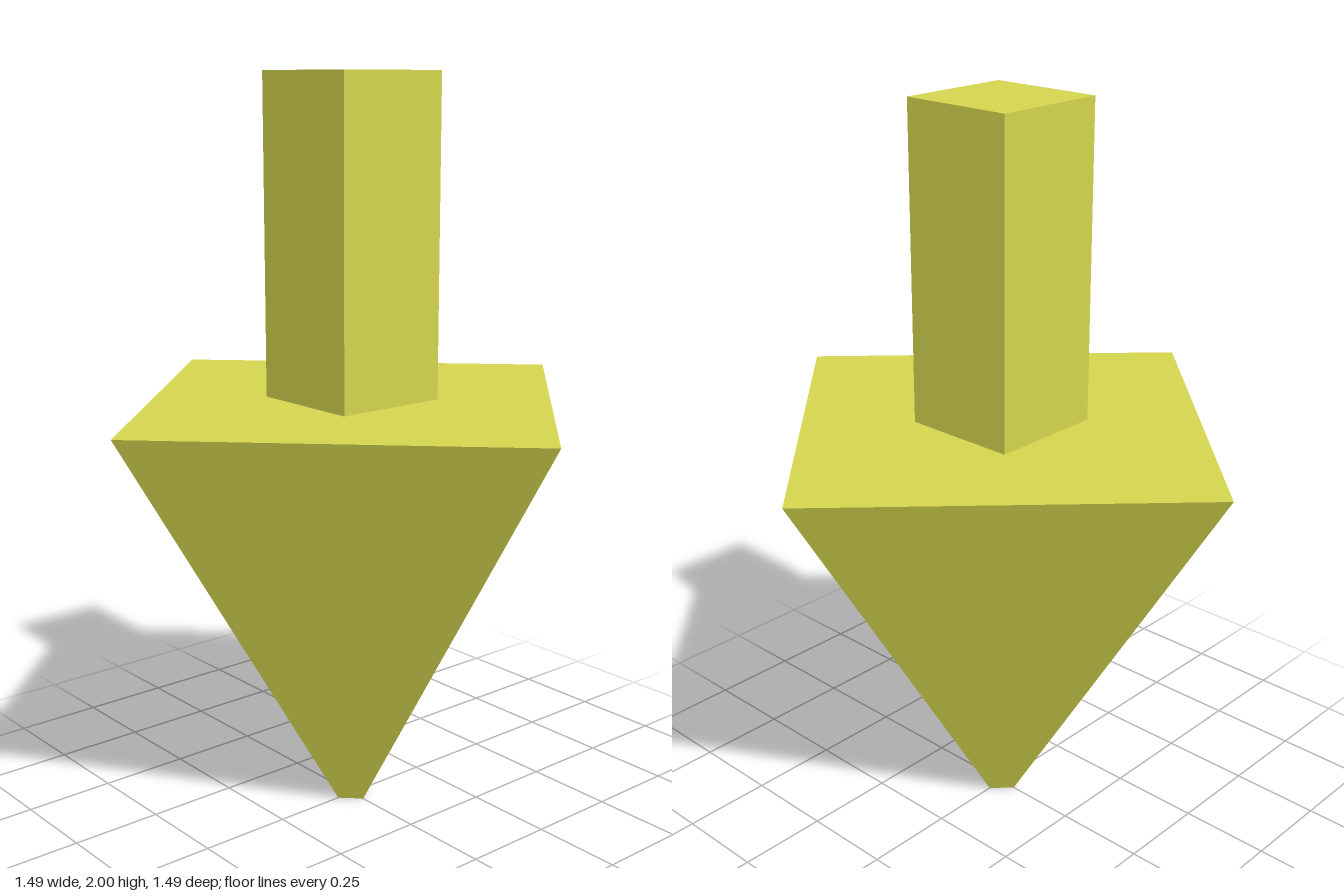
import * as THREE from 'three';

export function createModel() {
  const model = new THREE.Group();
  const yellow = new THREE.MeshStandardMaterial({ name: 'olive yellow', color: 0xd4d44e, flatShading: true });

  const add = (name, geometry, y) => {
    const mesh = new THREE.Mesh(geometry, yellow);
    mesh.name = name;
    mesh.position.y = y;
    model.add(mesh);
  };

  // Four-sided tapered head with its corners on the x and z axes and a blunt tip
  const headHeight = 1.15;
  add('arrowHead', new THREE.CylinderGeometry(0.747, 0.05, headHeight, 4), headHeight / 2);

  // Square shaft standing on the head
  const shaftHeight = 2 - headHeight;
  add('shaft', new THREE.BoxGeometry(0.324, shaftHeight, 0.324), headHeight + shaftHeight / 2);

  return model;
}
